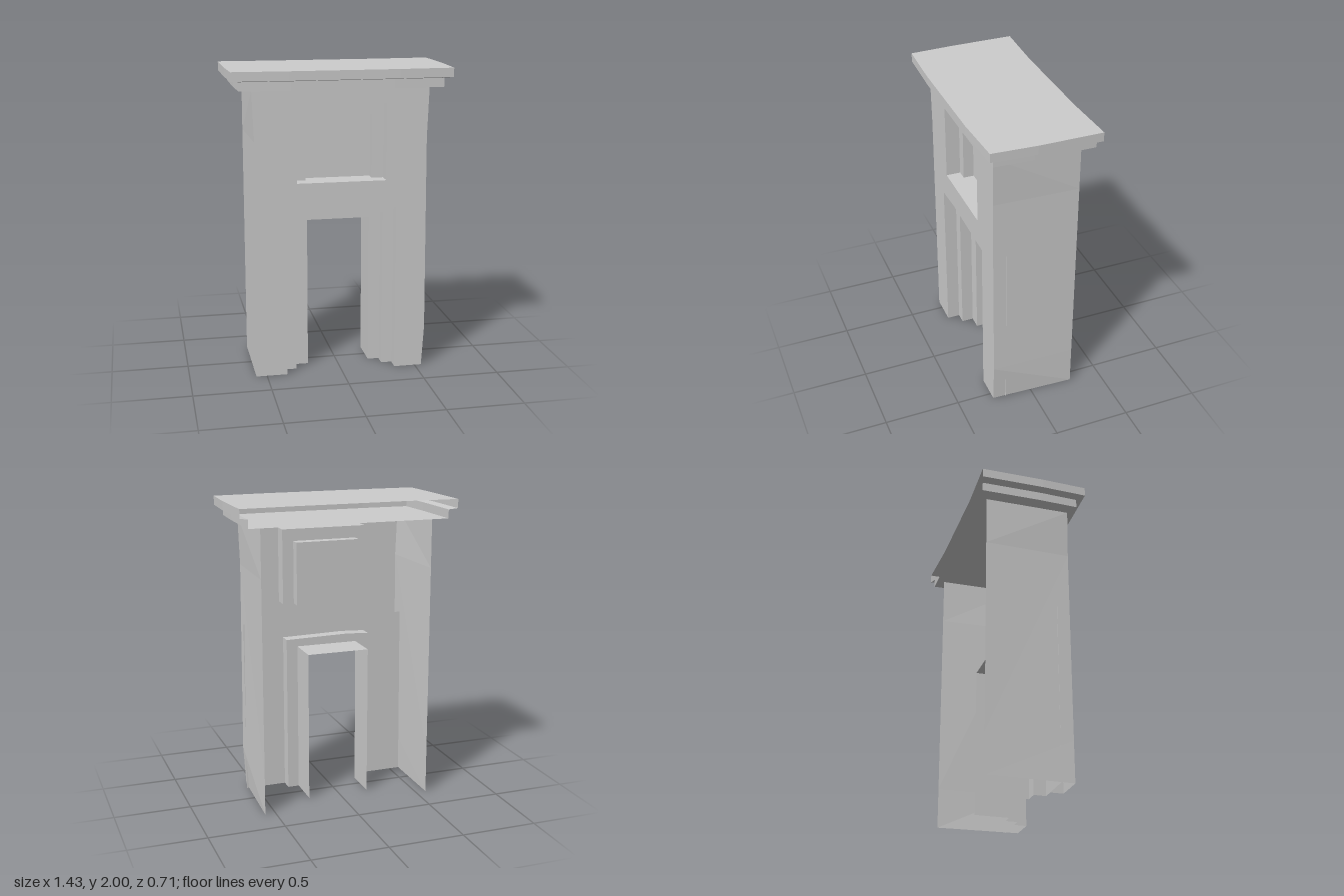
import * as THREE from 'three';

const material = new THREE.MeshStandardMaterial({
  color: 0xcccccc, flatShading: true, side: THREE.DoubleSide, // open shell
});

// Surface through rows of equally many [x, y, z] points
function ribbon(rows) {
  const n = rows[0].length, index = [];
  for (let r = 0; r < rows.length - 1; r++) {
    for (let i = 0; i < n - 1; i++) {
      const a = r * n + i, b = a + 1, c = a + n, d = c + 1;
      index.push(a, c, b, b, c, d);
    }
  }
  const g = new THREE.BufferGeometry();
  g.setAttribute('position', new THREE.Float32BufferAttribute(rows.flat(2), 3));
  g.setIndex(index);
  g.computeVertexNormals();
  return g;
}

const shapeOf = (pts) => new THREE.Shape(pts.map(([x, y]) => new THREE.Vector2(x, y)));

// Flat upright panel at depth z, with optional holes
function panel(pts, z, holes = []) {
  const s = shapeOf(pts);
  s.holes = holes.map((h) => new THREE.Path(h.map(([x, y]) => new THREE.Vector2(x, y))));
  return new THREE.ShapeGeometry(s).translate(0, 0, z);
}

// Walls that carry an outline from depth z0 back to z1
const reveal = (pts, z0, z1) =>
  ribbon([z0, z1].map((z) => pts.map(([x, y]) => [x, y, z])));

// Opening outline: up the left jamb, over the head, down the right jamb
const arch = (l, r, y0, y1, rise = 0) =>
  [[l, y0], [l, y1], [l * 0.45, y1 + rise], [r, y1], [r, y0]];

export function createModel() {
  const group = new THREE.Group();
  const add = (name, geometry) => {
    const m = new THREE.Mesh(geometry, material);
    m.name = name;
    group.add(m);
  };

  const FRONT = 0.265, STEP = 0.18, INNER = 0.1, BACK = -0.29, TOP = 1.875;

  // Slightly uneven front corners, bottom to top
  const right = [[0.545, 0], [0.562, 0.27], [0.553, 1.55], [0.565, TOP]];
  const left = [[-0.57, 0], [-0.567, 0.27], [-0.557, 1.55], [-0.57, TOP]];

  // Openings
  const outerDoor = arch(-0.365, 0.36, 0, 1.1, 0.014);
  const midDoor = arch(-0.29, 0.29, 0, 1.05, 0.008);
  const door = arch(-0.2, 0.215, 0, 1.0);
  const niche = arch(-0.29, 0.29, 1.28, 1.78);
  const nicheInner = arch(-0.22, 0.215, 1.28, 1.7);
  const close = (p) => [...p, p[0]];

  // Front wall and side walls
  add('frontWall', panel([...left, ...[...right].reverse(), ...[...outerDoor].reverse()], FRONT, [niche]));
  for (const [name, edge, x] of [['leftWall', right, 0.57], ['rightWall', left, -0.57]]) {
    add(name, ribbon([
      edge.map(([px, y]) => [px, y, FRONT]),
      edge.map(([, y]) => [x, y, BACK]),
    ]));
  }

  // Stepped doorway
  add('outerDoorReveal', reveal(outerDoor, FRONT, STEP));
  add('doorBackingPanel', panel(
    [[-0.568, 0], [-0.568, 1.16], [0.563, 1.16], [0.563, 0], ...[...midDoor].reverse()], STEP));
  add('middleDoorReveal', reveal(midDoor, STEP, INNER));
  add('innerDoorFrame', panel([...midDoor, ...[...door].reverse()], INNER));
  add('doorPassage', reveal(door, INNER, -0.13));

  // Stepped niche above the door
  add('nicheReveal', reveal(close(niche), FRONT, 0.17));
  add('nicheFrame', panel([...niche, ...[...nicheInner].reverse()], 0.17));
  add('nicheInnerReveal', reveal(close(nicheInner), 0.17, INNER));
  add('nicheBack', panel(nicheInner, INNER));

  // Cornice: two stacked mouldings around three sides, open at the back
  const slab = [[-0.717, -0.358], [-0.715, 0.05], [-0.703, 0.342], [-0.35, 0.355],
    [0.35, 0.355], [0.7, 0.338], [0.715, 0.05], [0.715, -0.358]];
  const moulding = [[-0.66, -0.342], [-0.66, 0.05], [-0.65, 0.3], [-0.33, 0.31],
    [0.33, 0.31], [0.65, 0.3], [0.66, 0.05], [0.66, -0.342]];
  const level = (pts, y) => pts.map(([x, z]) => [x, y, z]);
  add('cornice', ribbon([
    level(slab, 1.998), level(slab, 1.94), level(moulding, 1.932), level(moulding, TOP),
  ]));
  add('corniceTop', new THREE.ShapeGeometry(
    shapeOf([...slab, [0.35, -0.343], [-0.35, -0.343]].map(([x, z]) => [x, -z])))
    .rotateX(-Math.PI / 2).translate(0, 1.998, 0));
  add('corniceUnderside', new THREE.ShapeGeometry(shapeOf(moulding))
    .rotateX(Math.PI / 2).translate(0, TOP, 0));

  return group;
}
